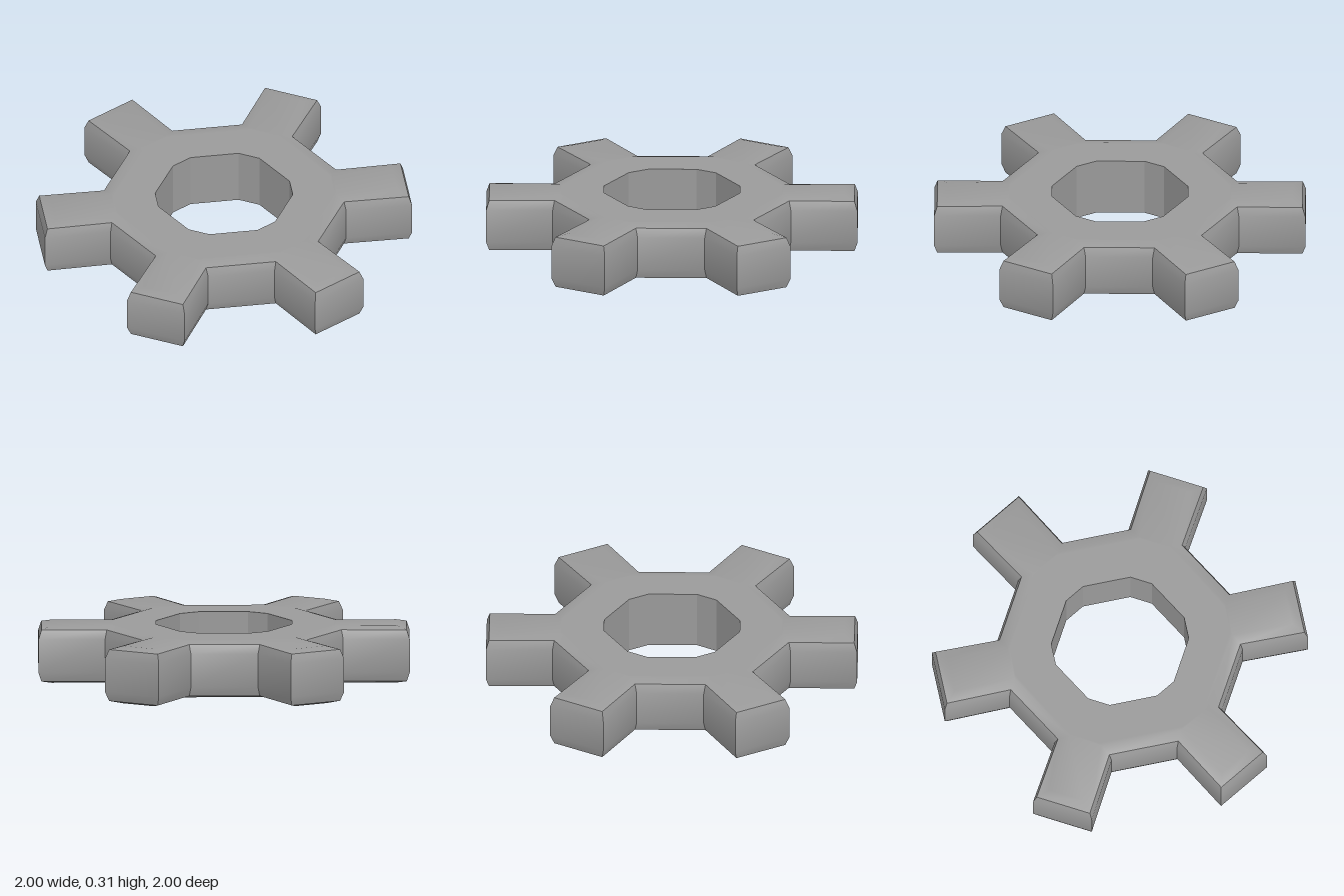
import * as THREE from 'three';
import { toCreasedNormals } from 'three/addons/utils/BufferGeometryUtils.js';

const TEETH = 6, TIP = 0.99, TIP_HALF = 0.165, BASE_HALF = 0.16;
const HUB = 0.63, BORE = 0.367, HEIGHT = 0.31;
const BORE_STEP = THREE.MathUtils.degToRad(9.4);
const toothAngle = k => THREE.MathUtils.degToRad(15 + (k * 360) / TEETH);

// Outline of the gear pulled in by a given inset: four corners per tooth
function outline(inset, y) {
  const points = [];
  const half = BASE_HALF - inset, tipHalf = TIP_HALF - inset;
  const base = (HUB - inset - half * 0.5) / Math.cos(Math.PI / 6);
  const corners = [[base, -half], [TIP - inset, -tipHalf], [TIP - inset, tipHalf], [base, half]];
  for (let k = 0; k < TEETH; k++) {
    const c = Math.cos(toothAngle(k)), s = Math.sin(toothAngle(k));
    for (const [u, v] of corners) points.push([u * c - v * s, y, -(u * s + v * c)]);
  }
  return points;
}

// Border of the flat hub face: the two base corners of each tooth
const hubRing = y => outline(0.085, y).filter((_, i) => i % 4 === 0 || i % 4 === 3);

// Bore polygon: two corners facing each tooth
function boreRing(y) {
  const points = [];
  for (let k = 0; k < TEETH; k++) {
    for (const side of [-1, 1]) {
      const a = toothAngle(k) + side * BORE_STEP;
      points.push([BORE * Math.cos(a), y, -BORE * Math.sin(a)]);
    }
  }
  return points;
}

function quadGeometry(points, quads) {
  const geometry = new THREE.BufferGeometry();
  geometry.setAttribute('position', new THREE.Float32BufferAttribute(points.flat(), 3));
  geometry.setIndex(quads.flatMap(([a, b, c, d]) => [a, b, c, a, c, d]));
  return geometry;
}

// Walls, rounded rims and both flat faces
function gearBody() {
  const n = TEETH * 4, m = TEETH * 2;
  const profile = [
    [0.07, 0], [0.016, 0.016], [0, 0.065],
    [0, HEIGHT - 0.065], [0.016, HEIGHT - 0.016], [0.07, HEIGHT],
  ];
  const points = profile.flatMap(([inset, y]) => outline(inset, y));
  const quads = [];
  for (let r = 0; r < profile.length - 1; r++) {
    for (let i = 0; i < n; i++) {
      const j = (i + 1) % n;
      quads.push([r * n + i, r * n + j, (r + 1) * n + j, (r + 1) * n + i]);
    }
  }
  // Each face: tooth top, border strip of the hub, flat hub around the bore
  for (const top of [false, true]) {
    const y = top ? HEIGHT : 0;
    const edge = top ? (profile.length - 1) * n : 0;
    const hub = points.length, bore = hub + m;
    points.push(...hubRing(y), ...boreRing(y));
    for (let k = 0; k < TEETH; k++) {
      const o = edge + 4 * k, nextO = edge + (4 * k + 4) % n;
      const a = 2 * k, b = a + 1, c = (a + 2) % m;
      const faces = [
        [o, o + 1, o + 2, o + 3],
        [hub + a, o, o + 3, hub + b],
        [hub + b, o + 3, nextO, hub + c],
        [bore + a, hub + a, hub + b, bore + b],
        [bore + b, hub + b, hub + c, bore + c],
      ];
      for (const f of faces) quads.push(top ? f : f.reverse());
    }
  }
  return toCreasedNormals(quadGeometry(points, quads), 0.6);
}

// Inner wall of the central hole, facing the axis
function boreWall() {
  const m = TEETH * 2;
  const quads = [];
  for (let i = 0; i < m; i++) {
    const j = (i + 1) % m;
    quads.push([j, i, m + i, m + j]);
  }
  return toCreasedNormals(quadGeometry([...boreRing(0), ...boreRing(HEIGHT)], quads), 0.1);
}

export function createModel() {
  const group = new THREE.Group();
  group.name = 'gear';
  const material = new THREE.MeshStandardMaterial({ color: 0x9a9a9a });
  const body = new THREE.Mesh(gearBody(), material);
  body.name = 'toothedBody';
  const bore = new THREE.Mesh(boreWall(), material);
  bore.name = 'boreWall';
  group.add(body, bore);
  return group;
}
